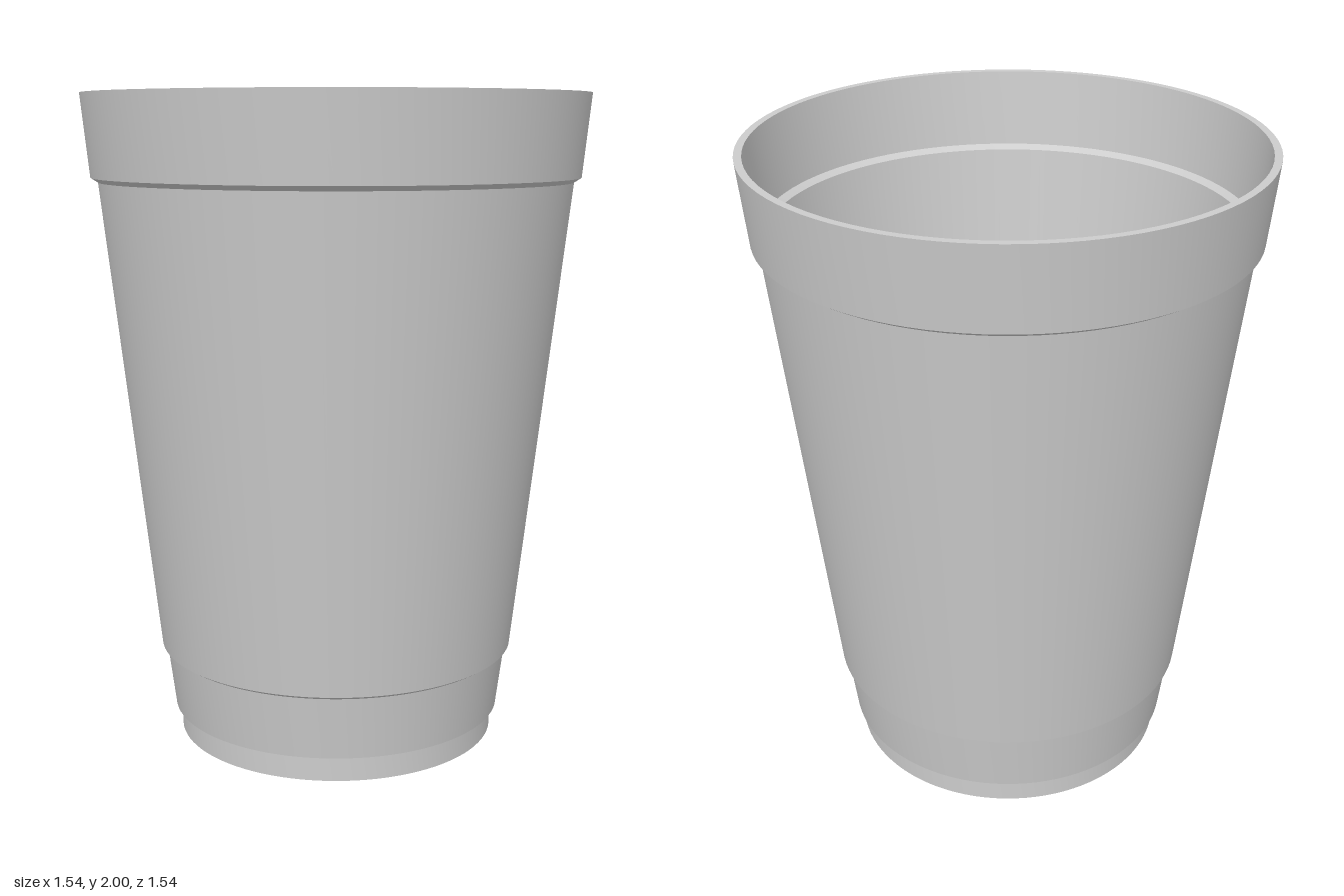
import * as THREE from 'three';
import { toCreasedNormals } from 'three/addons/utils/BufferGeometryUtils.js';

const material = new THREE.MeshStandardMaterial({ color: 0xcccccc });

// Closed wall section [radius, height]: underside, outside upwards, lip, inside downwards, floor
const section = [
  [0, 0], [0.5, 0], [0.5, 0.075],
  [0.52, 0.08], [0.545, 0.275],      // foot band
  [0.56, 0.285], [0.721, 1.738],     // main tapered wall
  [0.743, 1.752], [0.768, 2],        // rim band
  [0.745, 2], [0.722, 1.765],        // lip and inside of rim
  [0.7, 1.752], [0.538, 0.295],      // inside of main wall
  [0.525, 0.287], [0.503, 0.09],     // inside of foot band
  [0.484, 0.085], [0.484, 0.02], [0, 0.02],
];

export function createModel() {
  const group = new THREE.Group();
  group.name = 'cup';

  const points = section.map(([r, y]) => new THREE.Vector2(r, y));
  const geometry = toCreasedNormals(new THREE.LatheGeometry(points, 96), 0.3);
  const body = new THREE.Mesh(geometry, material);
  body.name = 'cupBody';
  group.add(body);

  return group;
}
